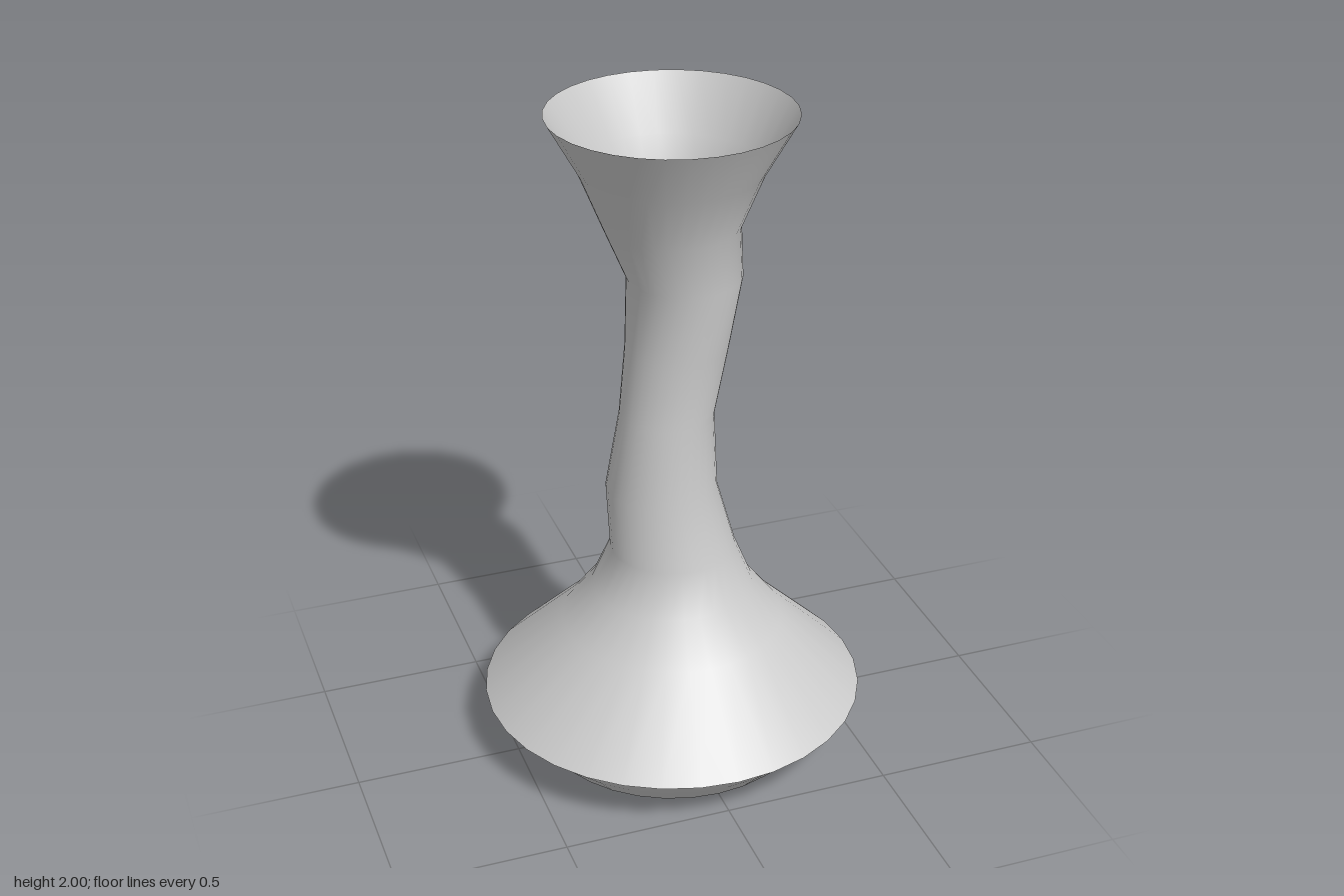
import * as THREE from 'three';

const SIDES = 32;
const material = new THREE.MeshStandardMaterial({ color: 0xcccccc, side: THREE.DoubleSide });

// Joins round sections [y, radius, centreX], listed from bottom to top, into an open smooth shell.
function loft(name, sections) {
  const positions = [];
  const index = [];
  sections.forEach(([y, r, cx = 0], row) => {
    for (let i = 0; i < SIDES; i++) {
      const a = (i / SIDES) * Math.PI * 2;
      positions.push(cx + r * Math.sin(a), y, r * Math.cos(a));
      if (row === 0) continue;
      const next = (i + 1) % SIDES;
      const low = (row - 1) * SIDES;
      const high = row * SIDES;
      index.push(low + i, low + next, high + next, low + i, high + next, high + i);
    }
  });
  const geometry = new THREE.BufferGeometry();
  geometry.setAttribute('position', new THREE.Float32BufferAttribute(positions, 3));
  geometry.setIndex(index);
  geometry.computeVertexNormals();
  const mesh = new THREE.Mesh(geometry, material);
  mesh.name = name;
  return mesh;
}

export function createModel() {
  const group = new THREE.Group();
  group.name = 'vase';

  // Open foot, flaring up to the rim
  group.add(loft('foot', [
    [0, 0.415], [0.075, 0.485], [0.16, 0.55],
  ]));

  // Narrow flat underside of the overhanging rim
  group.add(loft('rimUnderside', [[0.16, 0.55], [0.16, 0.577]]));

  // Flared body, swaying neck and open trumpet mouth
  group.add(loft('body', [
    [0.16, 0.577],
    [0.395, 0.335],
    [0.515, 0.243],
    [0.645, 0.188, 0.002],
    [0.85, 0.165, -0.033],
    [1.09, 0.139, -0.016],
    [1.3, 0.15, 0.015],
    [1.515, 0.166, 0.038],
    [1.675, 0.195],
    [1.84, 0.262],
    [2, 0.352],
  ]));

  return group;
}
